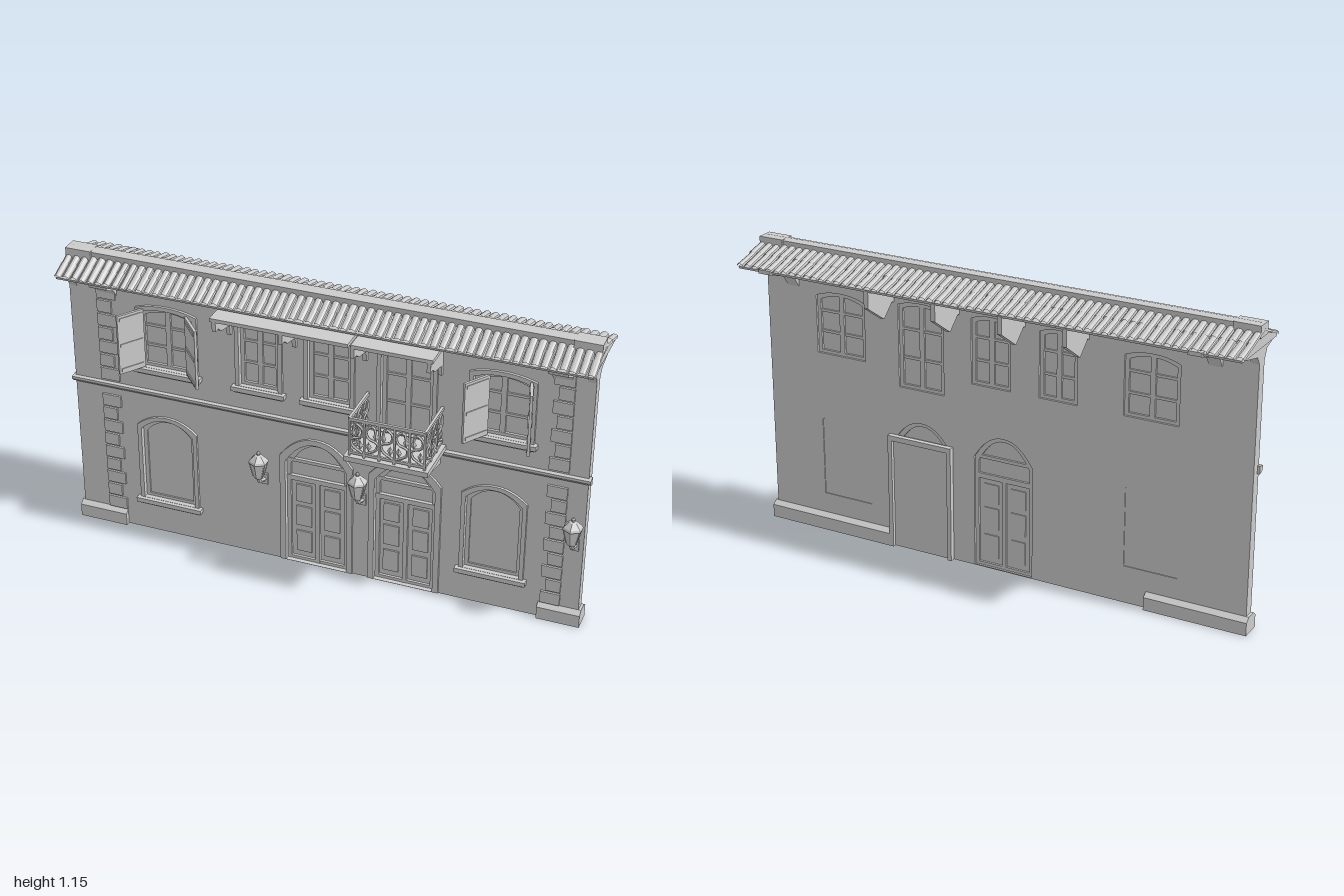
import * as THREE from 'three';
import { mergeGeometries } from 'three/addons/utils/BufferGeometryUtils.js';

const plaster = new THREE.MeshStandardMaterial({ color: 0xcccccc, flatShading: true, side: THREE.DoubleSide });
plaster.name = 'plaster grey';

export function createModel() {
  const model = new THREE.Group();
  const FRONT = 0.012, BACK = -0.03;

  const add = (name, geo, parent = model) => {
    const m = new THREE.Mesh(geo, plaster);
    m.name = name;
    parent.add(m);
    return m;
  };
  // box given by its limits on each axis
  const box = (name, x0, x1, y0, y1, z0, z1, parent) =>
    add(name, new THREE.BoxGeometry(x1 - x0, y1 - y0, z1 - z0)
      .translate((x0 + x1) / 2, (y0 + y1) / 2, (z0 + z1) / 2), parent);
  // rectangle with a shallow curved head
  const arched = (Type, cx, hw, y0, y1, rise) => {
    const s = new Type();
    s.moveTo(cx - hw, y0);
    s.lineTo(cx + hw, y0);
    s.lineTo(cx + hw, y1 - rise);
    for (let i = 1; i < 12; i++) {
      const t = 1 - i / 6;
      s.lineTo(cx + hw * t, y1 - rise * Math.pow(Math.abs(t), 2.2));
    }
    s.lineTo(cx - hw, y1 - rise);
    s.closePath();
    return s;
  };
  const slab = (name, shape, z0, z1, parent) =>
    add(name, new THREE.ExtrudeGeometry(shape, { depth: z1 - z0, bevelEnabled: false }).translate(0, 0, z0), parent);
  // [z, y] profile swept along x
  const sweep = (name, pts, x0, x1, parent) => {
    const s = new THREE.Shape(pts.map(([z, y]) => new THREE.Vector2(-z, y)));
    return add(name, new THREE.ExtrudeGeometry(s, { depth: x1 - x0, bevelEnabled: false })
      .rotateY(Math.PI / 2).translate(x0, 0, 0), parent);
  };

  // openings: centre, half width, bottom, top, arch rise, kind
  const openings = [
    [-0.60, 0.105, 0.72, 0.965, 0.02, 'window'],
    [-0.24, 0.075, 0.72, 0.985, 0.015, 'window'],
    [0.03, 0.08, 0.72, 0.985, 0.015, 'window'],
    [0.32, 0.095, 0.65, 0.985, 0.015, 'window'],
    [0.665, 0.105, 0.72, 0.965, 0.02, 'window'],
    [-0.615, 0.105, 0.145, 0.50, 0.05, 'blind'],
    [0.655, 0.105, 0.145, 0.50, 0.05, 'blind'],
    [-0.02, 0.12, 0.004, 0.53, 0.09, 'door'],
    [0.322, 0.115, 0.004, 0.52, 0.08, 'door'],
  ];

  // wall with openings
  const wall = new THREE.Shape();
  wall.moveTo(-0.985, 0); wall.lineTo(0.985, 0); wall.lineTo(0.985, 1.07); wall.lineTo(-0.985, 1.07); wall.closePath();
  for (const o of openings) wall.holes.push(arched(THREE.Path, ...o.slice(0, 5)));
  slab('wall', wall, BACK, FRONT);

  for (const [cx, hw, y0, y1, rise, kind] of openings) {
    const g = new THREE.Group();
    g.name = kind;
    model.add(g);
    const blind = kind === 'blind', door = kind === 'door';
    slab('pane', arched(THREE.Shape, cx, hw, y0, y1, rise), blind ? -0.027 : -0.014, blind ? -0.004 : -0.008, g);
    // outer moulding
    const t = door ? 0.022 : 0.016;
    const trim = arched(THREE.Shape, cx, hw + t, y0, y1 + t, rise);
    trim.holes.push(arched(THREE.Path, cx, hw, y0 + 0.001, y1, rise));
    slab('moulding', trim, FRONT - 0.004, FRONT + 0.01, g);
    // inner casing
    const casing = arched(THREE.Shape, cx, hw, y0, y1, rise);
    casing.holes.push(arched(THREE.Path, cx, hw - 0.015, y0 + 0.012, y1 - 0.015, rise));
    slab('casing', casing, blind ? -0.005 : -0.022, 0.002, g);
    if (!door) {
      if (cx !== 0.32) {
        box('sill', cx - hw - 0.028, cx + hw + 0.028, y0 - 0.018, y0, 0, 0.037, g);
        box('sillMoulding', cx - hw - 0.018, cx + hw + 0.018, y0 - 0.028, y0 - 0.018, 0, 0.025, g);
      }
      if (!blind) {
        // glazing bars
        box('mullion', cx - 0.01, cx + 0.01, y0, y1 - 0.005, -0.022, 0.001, g);
        for (const f of [0.35, 0.68])
          box('glazingBar', cx - hw, cx + hw, y0 + (y1 - y0) * f - 0.005, y0 + (y1 - y0) * f + 0.005, -0.02, -0.002, g);
      }
    } else {
      // transom, leaves and raised panels
      box('transom', cx - hw, cx + hw, 0.355, 0.375, -0.022, 0.006, g);
      box('transomRail', cx - hw, cx + hw, 0.435, 0.448, -0.022, 0.004, g);
      box('meetingStile', cx - 0.008, cx + 0.008, y0, 0.36, -0.022, 0.003, g);
      for (const s of [-1, 1]) for (const [a, b] of [[0.04, 0.13], [0.155, 0.24], [0.26, 0.335]]) {
        const px = cx + s * 0.056;
        box('doorPanel', px - 0.03, px + 0.03, a, b, -0.018, -0.002, g);
      }
    }
  }
  // rear door surround
  for (const [a, b] of [[0.19, 0.207], [0.443, 0.46]]) box('rearDoorJamb', a, b, 0, 0.455, -0.05, BACK);
  box('rearDoorHead', 0.19, 0.46, 0.435, 0.455, -0.05, BACK);
  box('rearDoorLeaf', 0.207, 0.443, 0, 0.435, -0.036, -0.028);

  // open shutters, from hinge x to free edge x
  for (const [hx, ex] of [[-0.69, -0.75], [-0.52, -0.44], [0.615, 0.555], [0.765, 0.79]]) {
    const dx = ex - hx, dz = 0.09, len = Math.hypot(dx, dz);
    const g = new THREE.Group();
    g.name = 'shutter';
    g.position.set(hx, 0, 0.02);
    g.rotation.y = -Math.atan2(dz, dx);
    model.add(g);
    box('shutterBoard', 0, len, 0.725, 0.962, -0.005, 0.005, g);
    for (const y of [0.735, 0.835, 0.94]) box('shutterRail', 0.008, len - 0.008, y, y + 0.012, -0.008, 0.008, g);
  }

  // plinths, string course and corner quoins
  const plinth = (x0, x1, z0, z1) => sweep('plinth',
    [[z0, 0], [z1, 0], [z1, 0.05], [Math.min(z1, FRONT), 0.065], [Math.max(z0, BACK), 0.065], [z0, 0.05]], x0, x1);
  plinth(-0.995, -0.80, -0.05, 0.03);
  plinth(0.835, 0.995, -0.05, 0.03);
  plinth(0.46, 0.835, -0.05, 0);
  plinth(-0.80, -0.60, -0.05, 0);
  sweep('stringCourse', [[0, 0.595], [0.018, 0.6], [0.026, 0.61], [0.026, 0.62], [0, 0.625]], -0.995, 0.995);
  for (const [inner, outer] of [[-0.80, -0.875], [0.842, 0.915]]) {
    for (let i = 0; i < 17; i++) {
      const y = 0.068 + i * 0.0565;
      if (y < 0.63 && y + 0.05 > 0.59) continue;
      const from = i % 2 ? inner + Math.sign(outer - inner) * 0.018 : inner;
      box('quoin', Math.min(from, outer), Math.max(from, outer), y, y + 0.048, 0, 0.02);
    }
  }

  // corner corbels under both eaves
  for (const x of [-0.83, 0.87]) {
    sweep('frontCorbel', [[0, 0.97], [0.014, 0.99], [0.035, 1.02], [0.085, 1.045], [0.095, 1.07], [0, 1.07]], x - 0.035, x + 0.035);
    sweep('rearCorbel', [[-0.02, 0.95], [-0.04, 0.98], [-0.06, 1.01], [-0.13, 1.035], [-0.208, 1.06], [-0.208, 1.075], [-0.02, 1.07]], x - 0.025, x + 0.025);
  }
  for (const s of [-1, 1])
    sweep('endCornice', [[0.012, 1.0], [0.03, 1.04], [0.09, 1.06], [-0.18, 1.06], [-0.05, 1.03], [-0.03, 1.0]], s * 0.97 - 0.015, s * 0.97 + 0.015);
  // beam ends that carry the canopies and the rear eave
  for (const x of [-0.35, -0.10, 0.165, 0.44]) {
    sweep('rearBeam', [[-0.02, 0.97], [-0.042, 0.98], [-0.097, 0.93], [-0.2, 1.0], [-0.2, 1.065], [-0.02, 1.065]], x - 0.009, x + 0.009);
    sweep('frontBracket', [[0, 0.92], [0.025, 0.925], [0.03, 0.965], [0.1, 0.98], [0.125, 1.0], [0.15, 1.0], [0.15, 1.042], [0, 1.042]], x - 0.007, x + 0.007);
  }
  box('canopy', -0.365, 0.15, 1.038, 1.052, 0, 0.153);
  box('canopy', 0.16, 0.455, 1.038, 1.052, 0, 0.153);

  // roof deck, pantiles and ridge
  sweep('roofDeck', [[0.095, 1.06], [0.1, 1.07], [-0.027, 1.115], [-0.2, 1.07], [-0.195, 1.06]], -0.99, 0.99);
  let seed = 7;
  const rnd = () => (seed = (seed * 16807) % 2147483647) / 2147483647;
  const tiles = [], N = 62;
  for (const [ze, ye] of [[0.103, 1.068], [-0.204, 1.068]]) {
    const run = ze + 0.027, rise = 1.117 - ye, len = Math.hypot(run, rise);
    for (let i = 0; i < N; i++) {
      for (const [a, b, lift] of [[0, 0.52, 0.002], [0.47, 1, 0]]) {
        const e = b === 1 ? 1 - rnd() * 0.05 : b;
        const r = 0.0135 + rnd() * 0.0025, m = (a + e) / 2;
        const g = new THREE.CylinderGeometry(r, r * 0.92, len * (e - a), 5, 1, true, -Math.PI / 2, Math.PI);
        g.rotateX(-Math.PI / 2).scale(1, 0.85, 1).rotateY((rnd() - 0.5) * 0.06);
        g.rotateX(Math.atan2(rise, Math.abs(run)) * Math.sign(run));
        const x = -0.984 + (i / (N - 1)) * 1.968;
        tiles.push(g.translate(x, 1.117 - rise * m + lift, -0.027 + run * m));
      }
    }
  }
  add('roofTiles', mergeGeometries(tiles));
  sweep('ridge', [[-0.005, 1.1], [0, 1.14], [-0.025, 1.146], [-0.05, 1.14], [-0.047, 1.1]], -0.98, 0.98);
  for (const s of [-1, 1]) box('ridgeEnd', s * 0.945 - 0.05, s * 0.945 + 0.05, 1.1, 1.144, -0.056, 0.006);

  // balcony floor and brackets
  box('balconySlab', 0.157, 0.468, 0.622, 0.642, 0, 0.21);
  sweep('balconyUnderside', [[0, 0.6], [0.17, 0.61], [0.198, 0.623], [0, 0.623]], 0.175, 0.45);
  for (const x of [0.185, 0.44])
    sweep('balconyBracket', [[0, 0.56], [0.03, 0.565], [0.09, 0.58], [0.17, 0.595], [0.19, 0.62], [0, 0.62]], x - 0.01, x + 0.01);

  // wrought railing, one panel per side
  const railing = (length, bays, x, z, turn) => {
    const g = new THREE.Group();
    g.name = 'railing';
    g.position.set(x, 0, z);
    g.rotation.y = turn;
    model.add(g);
    box('topRail', 0, length, 0.783, 0.795, -0.005, 0.005, g);
    box('bottomRail', 0, length, 0.65, 0.66, -0.004, 0.004, g);
    const w = length / bays;
    for (let i = 0; i <= bays; i++) box('railPost', i * w - 0.004, i * w + 0.004, 0.64, 0.79, -0.004, 0.004, g);
    for (let i = 0; i < bays; i++) {
      const c = (i + 0.5) * w, d = i % 2 ? -1 : 1;
      const pts = [[0.4, 0.66], [-0.3, 0.685], [-0.34, 0.71], [0.25, 0.725], [0.36, 0.755], [-0.1, 0.775], [-0.25, 0.75]];
      const curve = new THREE.CatmullRomCurve3(pts.map(([u, y]) => new THREE.Vector3(c + d * u * w, y, 0)));
      add('scroll', new THREE.TubeGeometry(curve, 20, 0.0055, 5), g);
      for (const [u, y] of [[0.22, 0.69], [-0.25, 0.735]])
        add('leaf', new THREE.OctahedronGeometry(0.014).scale(0.8, 1.4, 0.35).translate(c + d * u * w, y, 0), g);
    }
  };
  railing(0.276, 5, 0.175, 0.196, 0);
  for (const x of [0.175, 0.451]) railing(0.19, 3, x, 0.196, Math.PI / 2);

  // wall lanterns
  for (const x of [-0.225, 0.16, 0.955]) {
    const g = new THREE.Group();
    g.name = 'lantern';
    g.position.set(x, 0, 0.07);
    model.add(g);
    const profile = [[0, 0.375], [0.016, 0.378], [0.02, 0.388], [0.034, 0.443], [0.038, 0.447], [0.034, 0.455],
      [0.015, 0.473], [0.007, 0.476], [0.009, 0.484], [0, 0.494]].map(([r, y]) => new THREE.Vector2(r, y));
    add('lanternBody', new THREE.LatheGeometry(profile, 6), g);
    for (let i = 0; i < 6; i++) {
      const a = i * Math.PI / 3, s = Math.sin(a), c = Math.cos(a);
      add('lanternRib', new THREE.TubeGeometry(new THREE.LineCurve3(
        new THREE.Vector3(s * 0.02, 0.388, c * 0.02), new THREE.Vector3(s * 0.034, 0.445, c * 0.034)), 1, 0.0025, 4), g);
    }
    const arm = new THREE.CatmullRomCurve3([[0, 0, 0.378], [0, 0, 0.363], [0, 0, 0.35], [0, 0, 0.34]]
      .map(([, , y], i) => new THREE.Vector3(0, y, [0, -0.005, -0.028, -0.06][i])));
    add('lanternArm', new THREE.TubeGeometry(arm, 8, 0.009, 6), g);
    box('lanternPlate', -0.014, 0.014, 0.32, 0.365, -0.062, -0.05, g);
  }
  return model;
}
